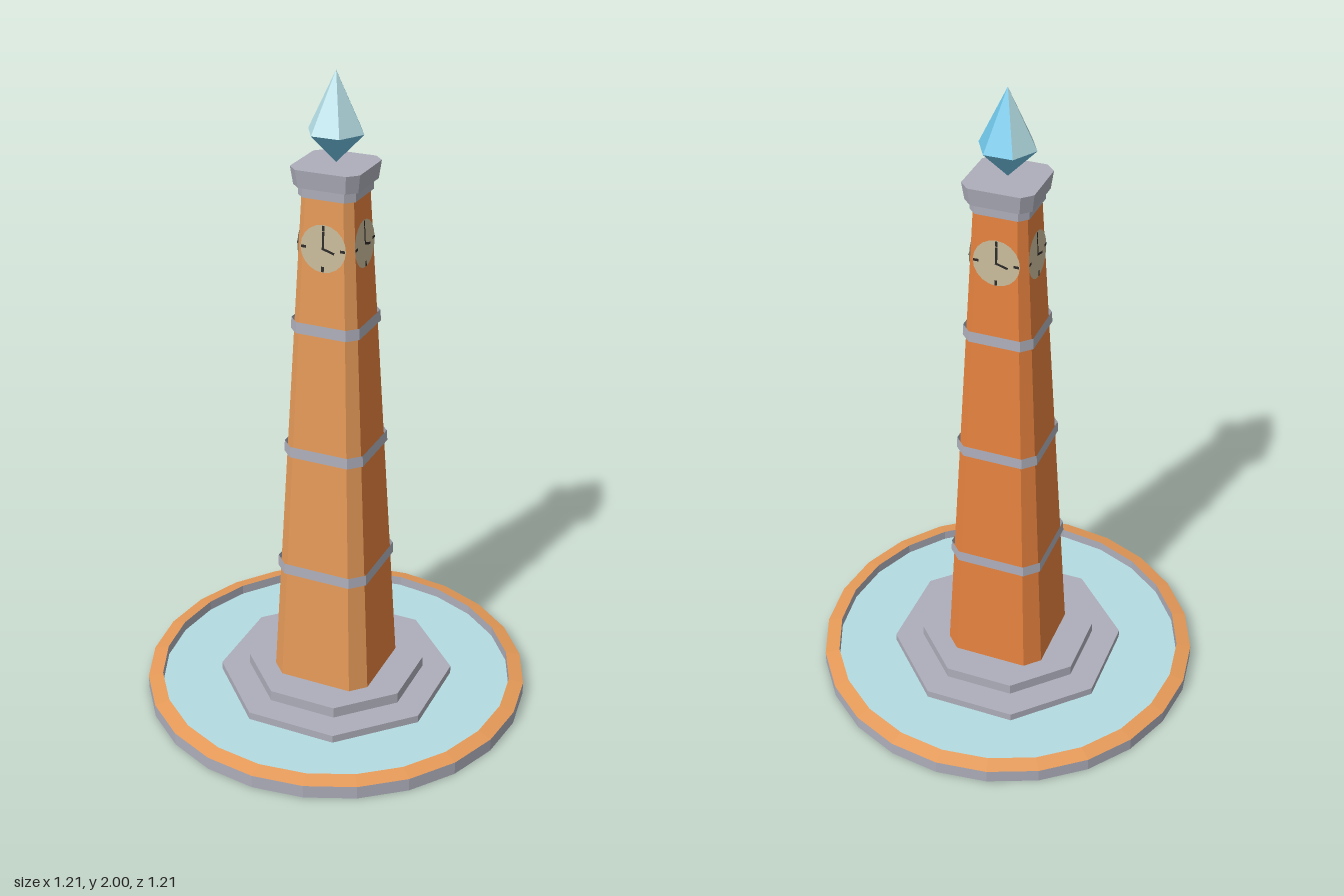
import * as THREE from 'three';

const mat = (name, color) =>
  Object.assign(new THREE.MeshStandardMaterial({ color, side: THREE.DoubleSide }), { name });

// Unit cross-sections, listed counter-clockwise as seen from above, starting at the front
const F = 0.725;
const chamferedSquare = [[-F, 1], [F, 1], [1, F], [1, -F], [F, -1], [-F, -1], [-1, -F], [-1, F]];
const polygon = (n, radius = 1, offset = 0) => Array.from({ length: n }, (_, i) => {
  const a = ((i + offset) / n) * Math.PI * 2;
  return [Math.sin(a) * radius, Math.cos(a) * radius];
});
const octagon = polygon(8, 1 / Math.cos(Math.PI / 8), -0.5);

// Flat-sided loft through [scale, y] levels; pick(side, level) gives the material index
function loft(name, outline, levels, materials, { pick = () => 0, top = true, bottom = true } = {}) {
  const buckets = materials.map(() => []);
  const n = outline.length;
  const at = (i, [s, y]) => [outline[i % n][0] * s, y, outline[i % n][1] * s];
  const tri = (m, a, b, c) => buckets[m].push(...a, ...b, ...c);
  for (let l = 0; l < levels.length - 1; l++) {
    const [lo, hi] = [levels[l], levels[l + 1]];
    for (let i = 0; i < n; i++) {
      const m = pick(i, l);
      if (lo[0] > 0) tri(m, at(i, lo), at(i + 1, lo), at(i + 1, hi));
      if (hi[0] > 0) tri(m, at(i, lo), at(i + 1, hi), at(i, hi));
    }
  }
  const first = levels[0], last = levels[levels.length - 1];
  for (let i = 0; i < n; i++) {
    if (top && last[0] > 0) tri(0, [0, last[1], 0], at(i, last), at(i + 1, last));
    if (bottom && first[0] > 0) tri(0, [0, first[1], 0], at(i + 1, first), at(i, first));
  }
  const geometry = new THREE.BufferGeometry();
  let start = 0;
  buckets.forEach((b, m) => {
    geometry.addGroup(start, b.length / 3, m);
    start += b.length / 3;
  });
  geometry.setAttribute('position', new THREE.Float32BufferAttribute(buckets.flat(), 3));
  geometry.computeVertexNormals();
  const mesh = new THREE.Mesh(geometry, materials);
  mesh.name = name;
  return mesh;
}

export function createModel() {
  const stone = mat('stone', 0xaeaebb);
  const tan = mat('tanBrick', 0xe69a58);
  const orange = mat('orangeBrick', 0xe6823e);
  const pale = mat('paleBlue', 0xb3dce3);
  const blue = mat('blue', 0x70c6e8);
  const dial = mat('dial', 0xcabb9b);
  const dark = mat('dark', 0x2b2a28);
  const model = new THREE.Group();
  model.name = 'clockTower';

  // Basin rim, water and stepped plinth, all hollow underneath
  const circle = polygon(24);
  model.add(
    loft('basinRim', circle, [[0.606, 0], [0.606, 0.042], [0.56, 0.052], [0.56, 0.02]], [stone, tan],
      { pick: (i, l) => (l === 1 ? 1 : 0), top: false, bottom: false }),
    loft('water', circle, [[0.56, 0.006], [0.56, 0.02]], [pale, blue], { pick: () => 1, bottom: false }),
    loft('lowerStep', octagon, [[0.343, 0], [0.343, 0.045]], [stone], { bottom: false }),
    loft('upperStep', octagon, [[0.259, 0.04], [0.259, 0.08]], [stone]),
  );

  // Tapered shaft, paler on the front and its two chamfers
  const y0 = 0.08, y1 = 1.66, r0 = 0.16, r1 = 0.08;
  const slope = (r0 - r1) / (y1 - y0);
  const radius = (y) => r0 - slope * (y - y0);
  model.add(loft('shaft', chamferedSquare, [[r0, y0], [r1, y1]], [tan, orange],
    { pick: (i) => (i >= 2 && i <= 6 ? 1 : 0) }));

  // Open stone bands
  for (const y of [0.468, 0.868, 1.267]) {
    const lo = y - 0.017, hi = y + 0.017;
    model.add(loft('band', chamferedSquare, [[radius(lo) + 0.008, lo], [radius(hi) + 0.008, hi]], [stone],
      { top: false, bottom: false }));
  }

  // Collar and flared cap
  model.add(
    loft('collar', chamferedSquare, [[0.088, 1.655], [0.088, 1.69]], [stone]),
    loft('cap', chamferedSquare, [[0.099, 1.685], [0.106, 1.738]], [stone]),
  );

  // Crystal finial
  model.add(loft('crystal', polygon(6, 1, -0.5), [[0, 1.74], [0.085, 1.828], [0, 2]], [pale, blue],
    { pick: (i, l) => (l === 0 || i === 2 || i === 3 ? 1 : 0) }));

  // One clock on each side, lying flat on the leaning wall
  const clockY = 1.513;
  for (let side = 0; side < 4; side++) {
    const clock = new THREE.Group();
    clock.name = 'clock';
    const face = new THREE.Mesh(new THREE.CircleGeometry(0.07, 20), dial);
    face.name = 'clockFace';
    clock.add(face);
    // A flat bar running outwards at the given angle from twelve
    const bar = (name, angle, from, to, width) => {
      const g = new THREE.PlaneGeometry(width, to - from);
      g.translate(0, (from + to) / 2, 0.0015).rotateZ(-angle);
      const mesh = new THREE.Mesh(g, dark);
      mesh.name = name;
      clock.add(mesh);
    };
    for (let k = 0; k < 4; k++) bar('hourMark', (k * Math.PI) / 2, 0.052, 0.068, 0.008);
    bar('minuteHand', 0, -0.003, 0.05, 0.007);
    bar('hourHand', 1.85, -0.003, 0.036, 0.007);
    clock.position.set(0, clockY, radius(clockY) + 0.0015);
    clock.rotation.x = -Math.atan(slope);
    const pivot = new THREE.Group();
    pivot.name = 'clockSide';
    pivot.rotation.y = (side * Math.PI) / 2;
    pivot.add(clock);
    model.add(pivot);
  }
  return model;
}
